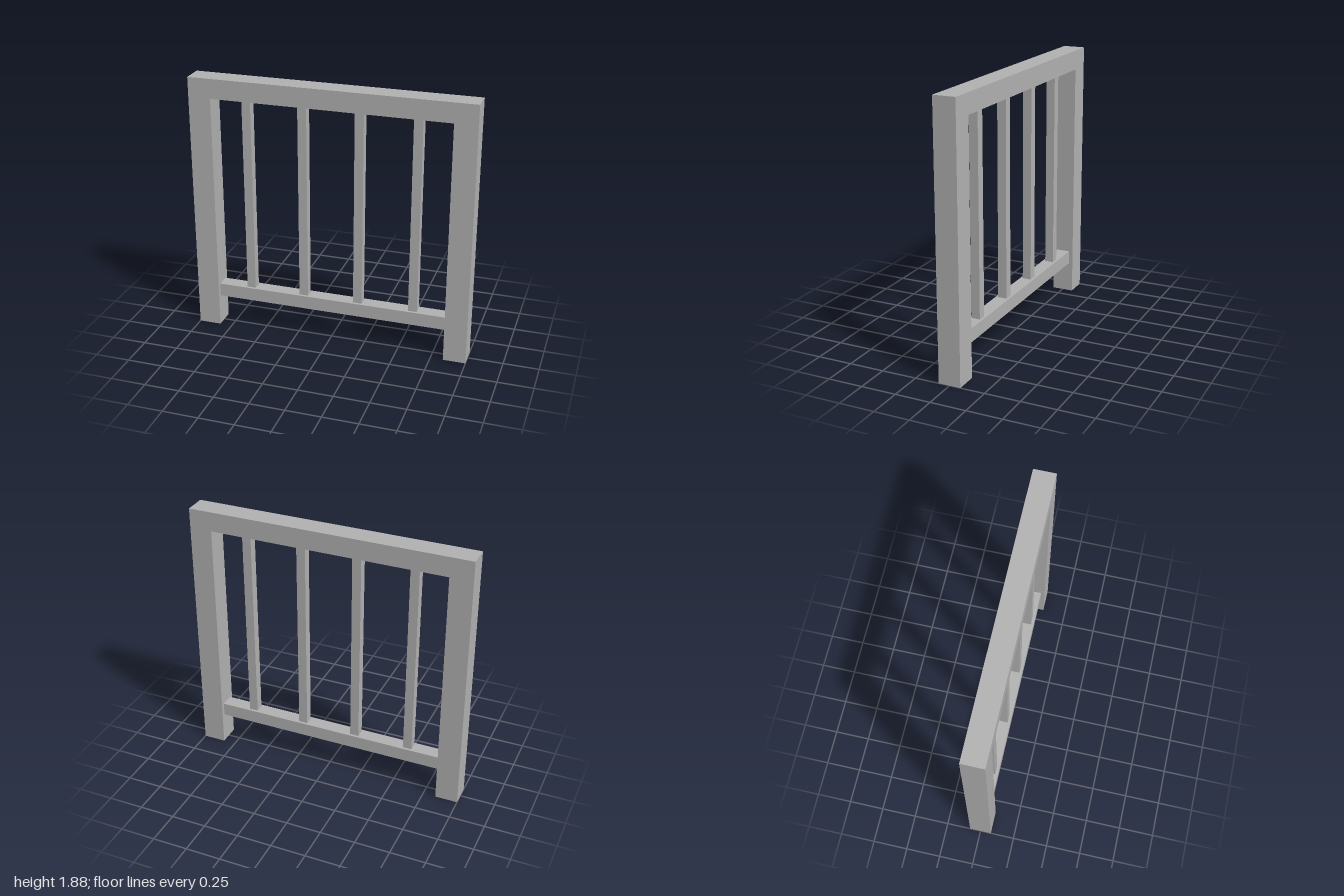
import * as THREE from 'three';

export function createModel() {
  const model = new THREE.Group();
  model.name = 'railing';
  const grey = new THREE.MeshStandardMaterial({ color: 0xb2b2b2 });
  grey.name = 'grey';

  const add = (name, geometry, x, y, z) => {
    const mesh = new THREE.Mesh(geometry, grey);
    mesh.name = name;
    mesh.position.set(x, y, z);
    model.add(mesh);
  };

  // Frame: two posts and the top rail as one outline
  const width = 1, inner = 0.84, top = 1.88, underside = 1.74, depth = 0.157;
  const outline = new THREE.Shape([
    [-width, 0], [-inner, 0], [-inner, underside], [inner, underside],
    [inner, 0], [width, 0], [width, top], [-width, top],
  ].map(([x, y]) => new THREE.Vector2(x, y)));
  add('frame', new THREE.ExtrudeGeometry(outline, { depth, bevelEnabled: false }), 0, 0, -depth / 2);

  // Bottom rail, thinner than the posts
  const railTop = 0.32, railHeight = 0.097;
  add('bottomRail', new THREE.BoxGeometry(inner * 2, railHeight, 0.1), 0, railTop - railHeight / 2, 0);

  // Evenly spaced square balusters
  const balusterHeight = underside - railTop;
  const baluster = new THREE.BoxGeometry(0.063, balusterHeight, 0.063);
  for (let i = 0; i < 4; i++) {
    add(`baluster${i + 1}`, baluster, -0.6 + i * 0.4, railTop + balusterHeight / 2, 0);
  }

  return model;
}
